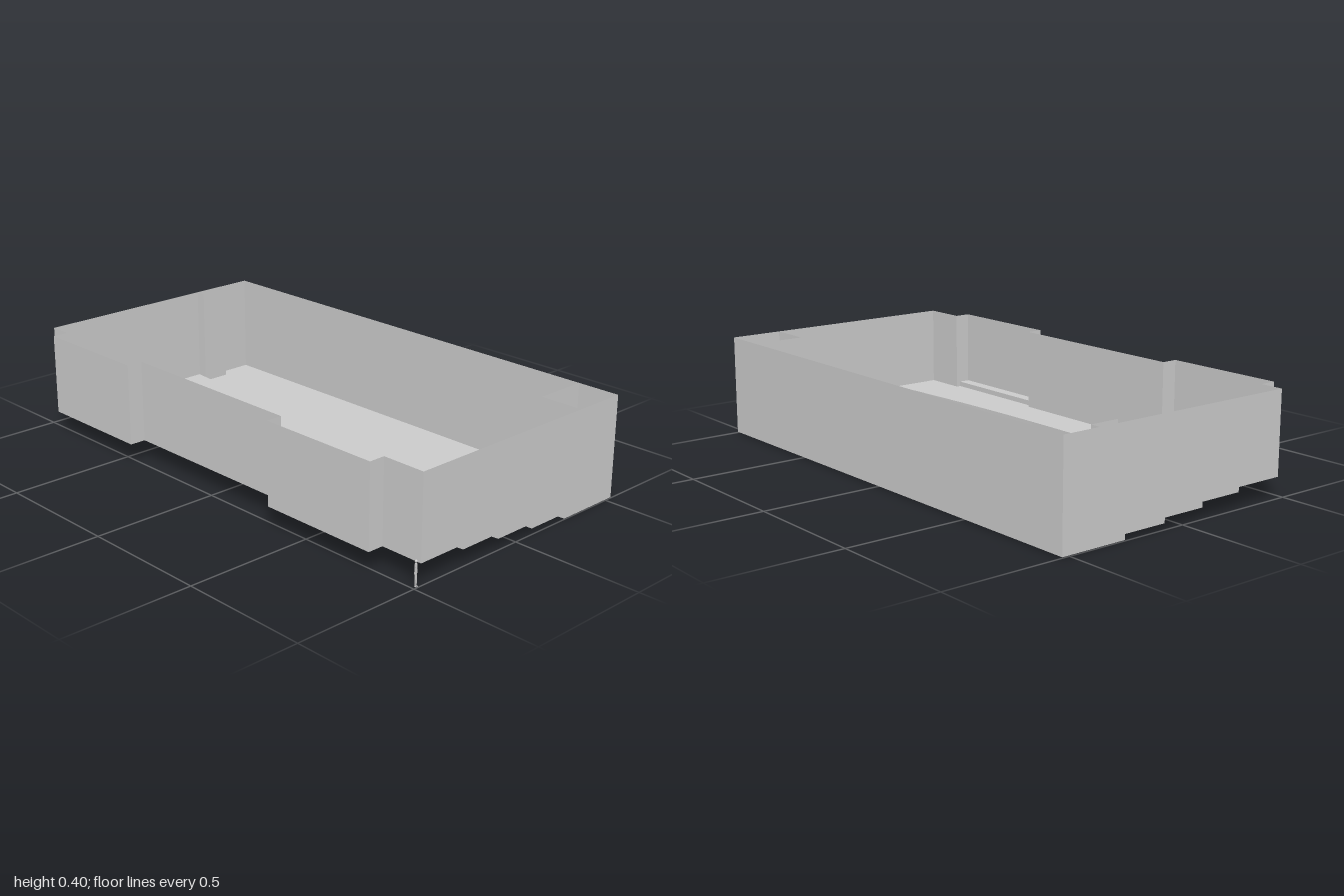
import * as THREE from 'three';

const TOP = 0.395;
const LEVELS = [0.08, 0.062, 0.042, 0.023, 0.003]; // floor heights, high to low
const EDGES = [-0.27, -0.093, 0.084, 0.263];       // step edges at the end walls
const X0 = -0.47, X1 = 0.53, BAY_X = -0.533;
const BAYS = [
  { z0: -0.91, z1: -0.43, stepX: -0.492 },
  { z0: 0.345, z1: 0.83, stepX: -0.488 },
];

const sheetMaterial = new THREE.MeshStandardMaterial({ color: 0xcccccc, side: THREE.DoubleSide });
const solidMaterial = new THREE.MeshStandardMaterial({ color: 0xcccccc });

function add(parent, name, geometry, material = sheetMaterial) {
  const mesh = new THREE.Mesh(geometry, material);
  mesh.name = name;
  parent.add(mesh);
  return mesh;
}

// Flat-shaded skin through a list of equally long rows of [x, y, z] points
function skin(rows) {
  const pos = [];
  for (let i = 0; i + 1 < rows.length; i++) {
    for (let j = 0; j + 1 < rows[i].length; j++) {
      const a = rows[i][j], b = rows[i + 1][j], c = rows[i + 1][j + 1], d = rows[i][j + 1];
      pos.push(...a, ...b, ...c, ...a, ...c, ...d);
    }
  }
  const g = new THREE.BufferGeometry();
  g.setAttribute('position', new THREE.Float32BufferAttribute(pos, 3));
  g.computeVertexNormals();
  return g;
}

// Thin upright wall along a plan path of [x, z] points
const wall = (path, bottom) => skin([
  path.map(([x, z]) => [x, TOP, z]),
  path.map(([x, z]) => [x, bottom, z]),
]);

// Stepped cross-section; the step edges bow towards -x by the given amount
function stepProfile(bow) {
  const pts = [[X0, LEVELS[0]]];
  EDGES.forEach((x, i) => pts.push([x - bow, LEVELS[i]], [x - bow, LEVELS[i + 1]]));
  pts.push([X1, LEVELS[4]]);
  return pts;
}

// Small standing figure, about 0.095 tall
function scaleFigure() {
  const figure = new THREE.Group();
  figure.name = 'scaleFigure';
  const limb = (name, r0, r1, h, x, y, tilt = 0) => {
    const m = add(figure, name, new THREE.CylinderGeometry(r0, r1, h, 8), solidMaterial);
    m.position.set(x, y, 0);
    m.rotation.z = tilt;
  };
  for (const s of [-1, 1]) {
    limb('leg', 0.0026, 0.0015, 0.046, s * 0.0024, 0.025, s * 0.03);
    limb('arm', 0.0013, 0.001, 0.034, s * 0.0057, 0.062, s * 0.06);
    add(figure, 'foot', new THREE.BoxGeometry(0.003, 0.002, 0.008), solidMaterial)
      .position.set(s * 0.0026, 0.001, 0.002);
  }
  limb('torso', 0.0045, 0.0035, 0.034, 0, 0.063);
  limb('neck', 0.0015, 0.0015, 0.005, 0, 0.082);
  add(figure, 'head', new THREE.SphereGeometry(0.005, 10, 8), solidMaterial).position.y = 0.089;
  figure.position.set(-0.482, 0, 0.99);
  return figure;
}

export function createModel() {
  const model = new THREE.Group();
  model.name = 'steppedHall';

  // Floor with four bowed steps
  const rows = [];
  const SEGMENTS = 14;
  for (let i = 0; i <= SEGMENTS; i++) {
    const z = -1 + (2 * i) / SEGMENTS;
    rows.push(stepProfile(0.046 * (1 - z * z)).map(([x, y]) => [x, y, z]));
  }
  add(model, 'steppedFloor', skin(rows));

  // End walls, their lower edge following the steps
  const outline = [[X0, TOP], ...stepProfile(0), [X1, TOP]];
  const endShape = new THREE.Shape(outline.map(([x, y]) => new THREE.Vector2(x, y)));
  for (const z of [-1, 1]) {
    add(model, z > 0 ? 'frontWall' : 'backWall', new THREE.ShapeGeometry(endShape)).position.z = z;
  }

  // Long straight wall
  add(model, 'leftWall', wall([[X1, 1], [X1, -1]], LEVELS[4]));

  // Long wall that steps out around the two bays
  const path = [[X0, -1]];
  for (const { z0, z1 } of BAYS) path.push([X0, z0], [BAY_X, z0], [BAY_X, z1], [X0, z1]);
  path.push([X0, 1]);
  add(model, 'rightWallWithBays', wall(path, LEVELS[0]));

  // Bay floors, each with a raised ledge at the outer side
  for (const { z0, z1, stepX } of BAYS) {
    const y = LEVELS[0], ledgeY = 0.1;
    add(model, 'bayFloor', skin([z0, z1].map(z => [[BAY_X, y, z], [X0, y, z]])));
    add(model, 'bayLedge', skin([z0, z1].map(z =>
      [[BAY_X, ledgeY, z], [stepX, ledgeY, z], [stepX, y, z]])));
  }

  // Boxed-in front corner and the shallow pier on the back wall
  add(model, 'cornerShaft', wall([[0.32, 1], [0.32, 0.83], [X1, 0.83]], LEVELS[4]));
  add(model, 'backPier', wall([[0.265, -1], [0.265, -0.96], [0.38, -0.96], [0.38, -1]], LEVELS[4]));

  model.add(scaleFigure());
  return model;
}
